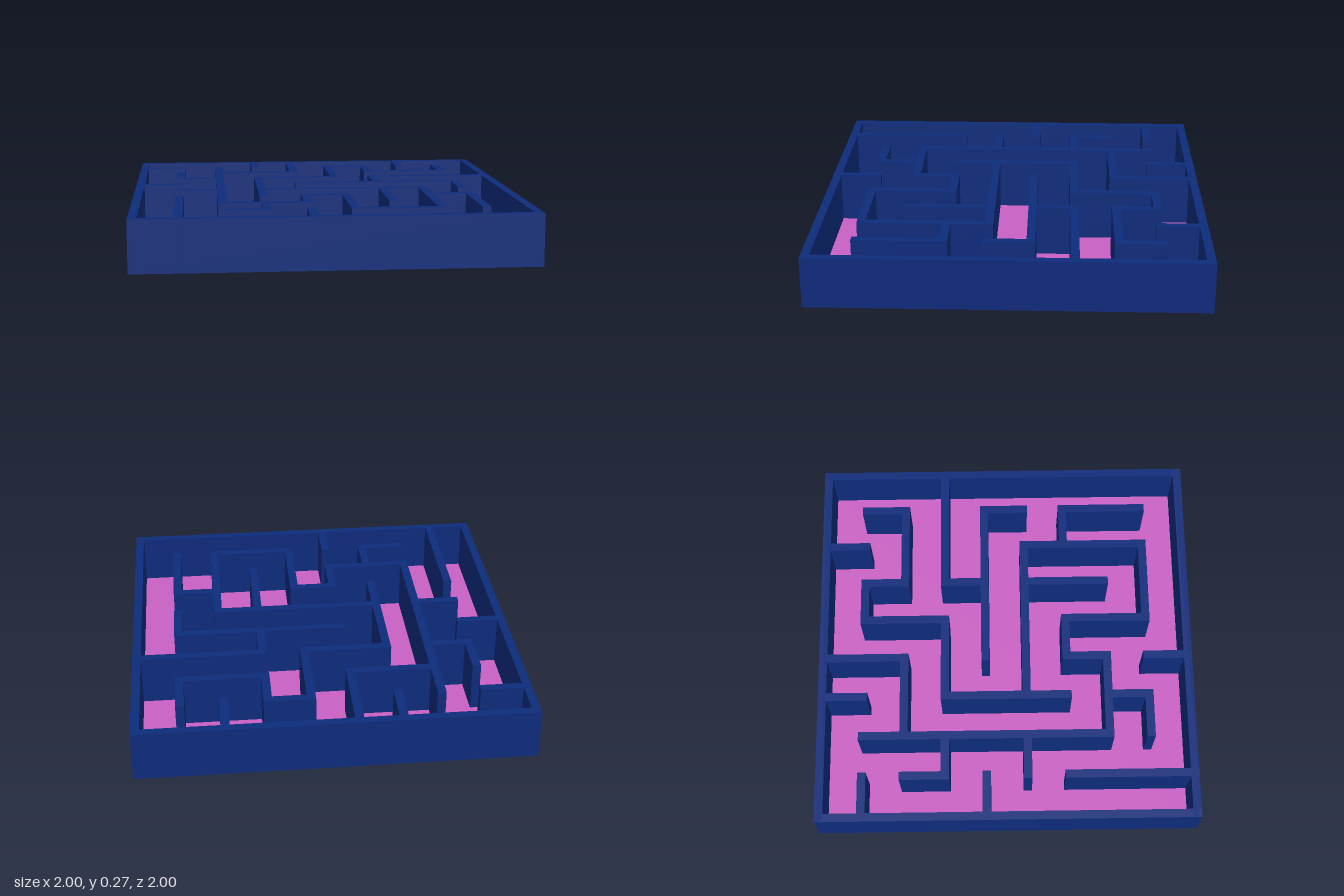
import * as THREE from 'three';

const CELLS = 9, T = 0.044, TOP = 0.265;
const PITCH = (2 - T) / CELLS;
const at = k => -1 + T / 2 + k * PITCH; // grid line to coordinate

// Walls along x: [z line, x start, x end]
const ROWS = [
  [1, 0, 1], [1, 5, 6], [2, 2, 4], [2, 6, 8], [3, 1, 2], [3, 3, 5], [3, 6, 9],
  [4, 0, 1], [4, 4, 8], [5, 1, 2], [5, 3, 7], [6, 4, 5], [6, 7, 8],
  [7, 2, 4], [8, 2, 3], [8, 5, 7],
];
// Walls along z: [x line, z start, z end]
const COLUMNS = [
  [1, 2, 3], [1, 6, 9], [2, 1, 7], [3, 0, 1], [3, 3, 6], [3, 7, 8],
  [4, 0, 2], [4, 6, 7], [4, 8, 9], [5, 1, 3], [5, 6, 8],
  [6, 1, 2], [6, 3, 4], [6, 5, 7], [7, 0, 1], [7, 5, 8],
  [8, 1, 2], [8, 4, 5], [8, 6, 8],
];

export function createModel() {
  const model = new THREE.Group();
  model.name = 'maze';
  const wallMat = new THREE.MeshStandardMaterial({ color: 0x0d2b7a });
  const floorMat = new THREE.MeshStandardMaterial({ color: 0xc960c4 });

  // Thin floor, its edge tucked under the outer walls
  const floor = new THREE.Mesh(new THREE.BoxGeometry(1.936, 0.006, 1.936), floorMat);
  floor.name = 'floor';
  floor.position.y = 0.003;
  model.add(floor);

  const addWall = (group, name, line, from, to, alongX) => {
    const length = (to - from) * PITCH + T, base = 0.002, h = TOP - base;
    const mesh = new THREE.Mesh(
      new THREE.BoxGeometry(alongX ? length : T, h, alongX ? T : length), wallMat);
    const mid = at((from + to) / 2);
    mesh.position.set(alongX ? mid : at(line), base + h / 2, alongX ? at(line) : mid);
    mesh.name = name;
    group.add(mesh);
  };

  // Outer frame
  const frame = new THREE.Group();
  frame.name = 'outerWalls';
  for (const line of [0, CELLS]) {
    addWall(frame, line ? 'frontWall' : 'backWall', line, 0, CELLS, true);
    addWall(frame, line ? 'wallPlusX' : 'wallMinusX', line, 0, CELLS, false);
  }

  // Maze partitions
  const inner = new THREE.Group();
  inner.name = 'innerWalls';
  for (const [line, from, to] of ROWS) addWall(inner, 'crossPartition', line, from, to, true);
  for (const [line, from, to] of COLUMNS) addWall(inner, 'lengthPartition', line, from, to, false);

  model.add(frame, inner);
  return model;
}
